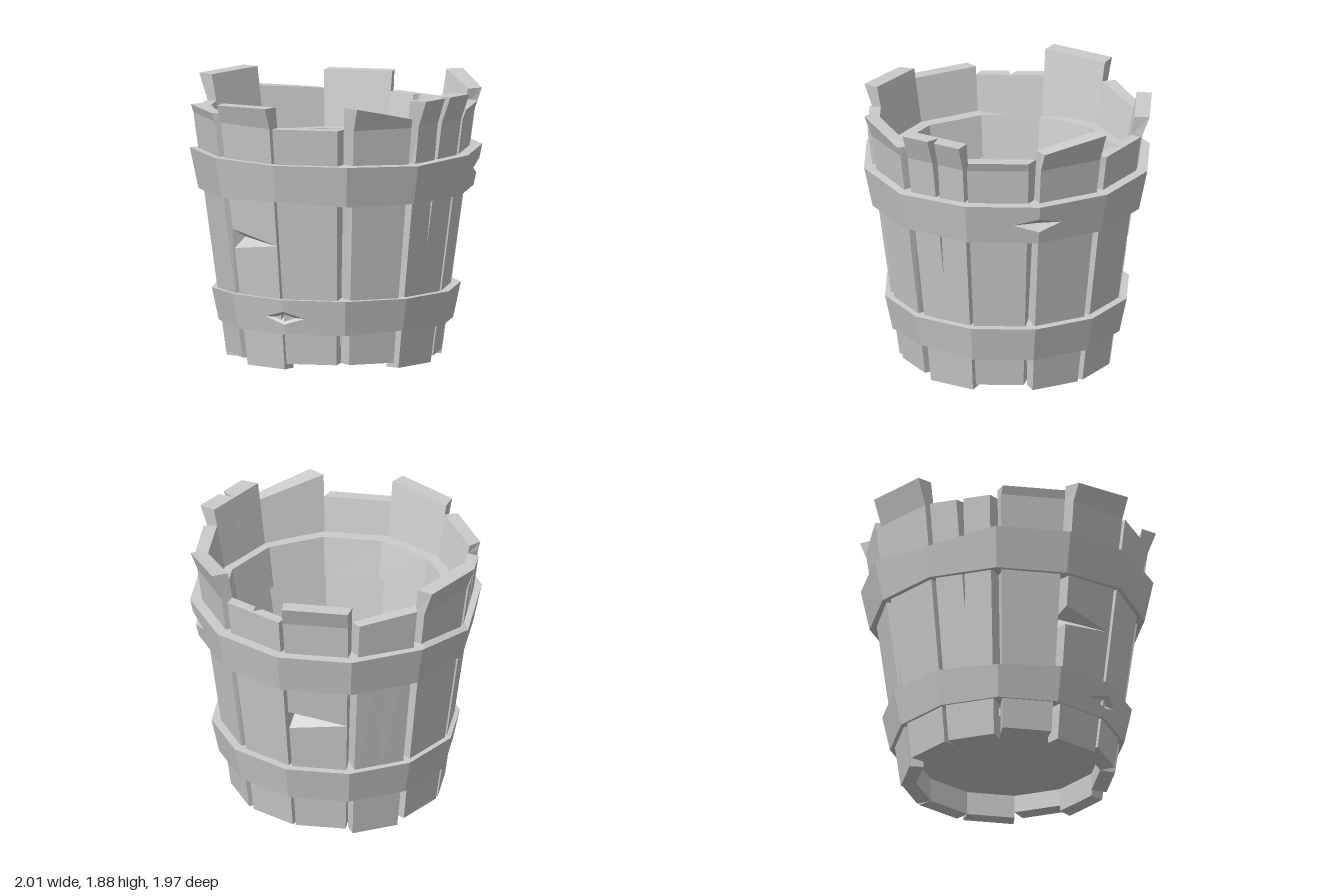
import * as THREE from 'three';

const STEP = Math.PI / 6; // twelve sides
const material = new THREE.MeshStandardMaterial({ color: 0xcccccc, flatShading: true });
const lerp = THREE.MathUtils.lerp;

// Point at fraction f along side k of a twelve-sided ring (0 degrees is the front, turning to +x)
function ringPoint(k, f, r, y) {
  const a = k * STEP, b = a + STEP;
  return [r * lerp(Math.sin(a), Math.sin(b), f), y, r * lerp(Math.cos(a), Math.cos(b), f)];
}

// Skin rows of points, each row closed on itself
function skin(rows) {
  const out = [];
  for (let j = 0; j < rows.length - 1; j++) {
    const n = rows[j].length;
    for (let i = 0; i < n; i++) {
      const m = (i + 1) % n;
      quad(out, rows[j][i], rows[j][m], rows[j + 1][m], rows[j + 1][i]);
    }
  }
  return out;
}

function quad(out, a, b, c, d) {
  out.push(...a, ...b, ...c, ...a, ...c, ...d);
}

function makeMesh(name, positions) {
  const geometry = new THREE.BufferGeometry();
  geometry.setAttribute('position', new THREE.Float32BufferAttribute(positions, 3));
  geometry.computeVertexNormals();
  const mesh = new THREE.Mesh(geometry, material);
  mesh.name = name;
  return mesh;
}

// Wall profile: leaning outwards, flaring near the rim, thinner at the foot
const KNEE = 1.68;
const outerR = (y) => 0.712 + 0.137 * y + Math.max(0, y - KNEE) * 0.25;
const innerR = (y) => Math.max(0.615, 0.55 + 0.187 * y);

// One board. top: heights at both edges, inset: narrowing of the outer face,
// wedge: height of a cut from the first edge, crack: lowest point of a split from the rim
function stave(k, { top, bottom, inset, wedge, crack, innerCrack }) {
  const split = crack ?? innerCrack;
  const levels = [{ y: [bottom, bottom] }];
  if (wedge) {
    levels.push({ y: [wedge - 0.06, wedge - 0.01] });
    levels.push({ y: [wedge + 0.01, wedge - 0.01], pull: 0.1 });
    levels.push({ y: [wedge + 0.07, wedge - 0.01] });
  }
  levels.push({ y: [0.35, 0.35] });
  if (split) levels.push({ y: [split, split] });
  if (Math.min(...top) > KNEE + 0.01) levels.push({ y: [KNEE, KNEE] });
  levels.push({ y: top });
  levels.sort((p, q) => p.y[0] - q.y[0]);

  const rows = levels.map(({ y, pull = 0 }) => {
    const mid = (y[0] + y[1]) / 2;
    const open = split ? Math.max(0, (mid - split) / (top[0] - split)) : 0;
    const w = 0.06 * open;
    const narrow = mid > KNEE ? 0.03 : 0;
    const cols = [0, 0.5 - w, 0.5, 0.5 + w, 1];
    const outer = cols.map((f, i) => {
      const h = lerp(y[0], y[1], f);
      const cut = pull * (1 - f) + (crack && i === 2 ? 0.1 * open : 0);
      return ringPoint(k, lerp(inset[0] + narrow, 1 - inset[1] - narrow / 2, f), outerR(h) - cut, h);
    });
    const inner = cols.map((f, i) => {
      const h = lerp(y[0], y[1], f);
      return ringPoint(k, f, innerR(h) + (innerCrack && i === 2 ? 0.06 * open : 0), h);
    });
    return [...outer, ...inner.reverse()];
  });

  const out = skin(rows);
  const lo = rows[0], hi = rows[rows.length - 1];
  for (let i = 0; i < 4; i++) {
    quad(out, hi[i], hi[i + 1], hi[8 - i], hi[9 - i]);
    quad(out, lo[9 - i], lo[8 - i], lo[i + 1], lo[i]);
  }
  return makeMesh('stave', out);
}

// Hoop through the wall. notch: diamond cut at a corner,
// dips and lifts: offsets of the top and bottom outer edge by corner
function hoop(name, { y, outer, inner, notch, dips, lifts }) {
  const stations = [];
  for (let k = 0; k < 12; k++) {
    stations.push({ k, f: 0 });
    if (k === notch.corner) stations.push({ k, f: 0.34 });
    if ((k + 1) % 12 === notch.corner) stations.push({ k, f: 0.64 });
  }
  const radiusAt = (h) => lerp(outer[0], outer[1], (h - y[0]) / (y[1] - y[0]));
  const offset = (table, k, f) => lerp(table[k] ?? 0, table[(k + 1) % 12] ?? 0, f);
  const sections = stations.map(({ k, f }) => {
    const cut = f === 0 && k === notch.corner;
    const s = cut ? notch.half : 0;
    const low = y[0] + offset(lifts, k, f), high = y[1] - offset(dips, k, f);
    return [
      ringPoint(k, f, radiusAt(low), low),
      ringPoint(k, f, radiusAt(notch.y - s), notch.y - s),
      ringPoint(k, f, radiusAt(notch.y) - (cut ? 0.055 : 0), notch.y),
      ringPoint(k, f, radiusAt(notch.y + s), notch.y + s),
      ringPoint(k, f, radiusAt(high), high),
      ringPoint(k, f, inner[1], y[1]),
      ringPoint(k, f, inner[0], low),
    ];
  });
  const rows = sections[0].map((_, i) => sections.map((s) => s[i]));
  const mesh = makeMesh(name, skin([...rows, rows[0]]));
  mesh.position.set(0.01, 0, -0.01);
  return mesh;
}

export function createModel() {
  const bucket = new THREE.Group();
  bucket.name = 'bucket';

  // Uneven boards around the wall
  const staves = new THREE.Group();
  staves.name = 'staves';
  [
    { top: [1.68, 1.68], bottom: 0.08, inset: [0, 0.1] },
    { top: [1.83, 1.74], bottom: 0.08, inset: [0.13, 0.04] },
    { top: [1.855, 1.855], bottom: 0.04, inset: [0.09, 0.03], crack: 0.83 },
    { top: [1.74, 1.74], bottom: 0.08, inset: [0.03, 0.13] },
    { top: [1.81, 1.875], bottom: 0.04, inset: [0.04, 0.05] },
    { top: [1.68, 1.68], bottom: 0.04, inset: [0.08, 0.03], innerCrack: 1.3 },
    { top: [1.81, 1.81], bottom: 0.04, inset: [0.03, 0.07], wedge: 0.89 },
    { top: [1.69, 1.73], bottom: 0, inset: [0.06, 0.08] },
    { top: [1.855, 1.855], bottom: 0.04, inset: [0.05, 0.04] },
    { top: [1.68, 1.68], bottom: 0.04, inset: [0.04, 0.1], crack: 0.9 },
    { top: [1.735, 1.735], bottom: 0.08, inset: [0.06, 0.06] },
    { top: [1.8, 1.82], bottom: 0.04, inset: [0.08, 0.05], wedge: 0.89 },
  ].forEach((spec, k) => staves.add(stave(k, spec)));
  bucket.add(staves);

  // Two hoops
  bucket.add(hoop('upperHoop', {
    y: [1.165, 1.44], outer: [0.912, 0.97], inner: [0.7, 0.75],
    notch: { corner: 4, y: 1.3, half: 0.05 },
    dips: { 9: 0.07, 2: 0.015 }, lifts: { 0: 0.025 },
  }));
  bucket.add(hoop('lowerHoop', {
    y: [0.283, 0.52], outer: [0.777, 0.828], inner: [0.545, 0.575],
    notch: { corner: 0, y: 0.395, half: 0.045 },
    dips: { 10: 0.02 }, lifts: { 2: 0.02 },
  }));

  // Floor, set up inside the wall
  const floor = new THREE.Mesh(new THREE.CylinderGeometry(0.635, 0.635, 0.06, 12), material);
  floor.name = 'floor';
  floor.position.y = 0.23;
  bucket.add(floor);

  return bucket;
}
